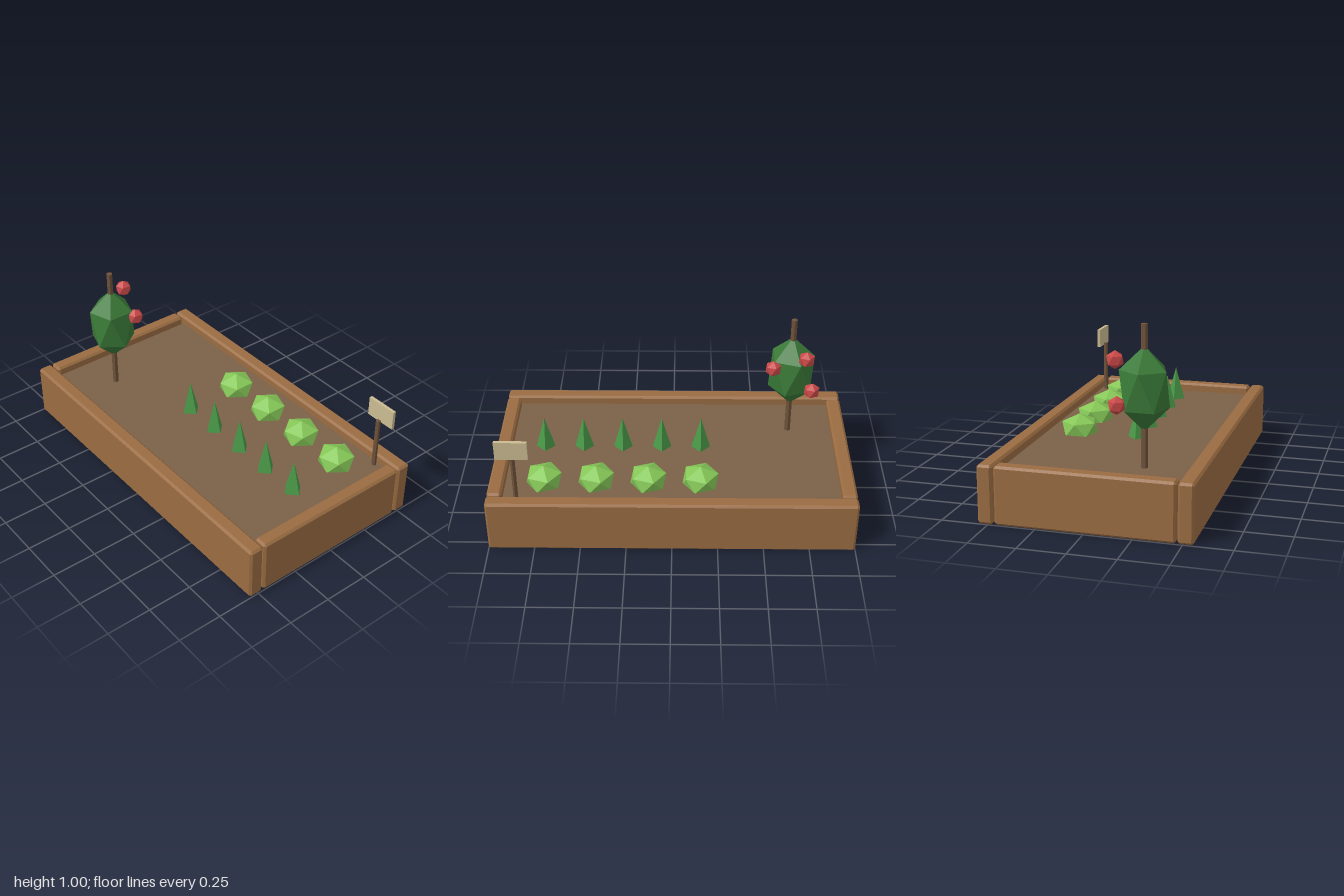
import * as THREE from 'three';
import { ConvexGeometry } from 'three/addons/geometries/ConvexGeometry.js';

const material = (name, color) => {
  const m = new THREE.MeshStandardMaterial({ color, flatShading: true });
  m.name = name;
  return m;
};

// Box with every edge cut by a small chamfer
function chamferBox(w, h, d, c = 0.012) {
  const points = [];
  for (const x of [-1, 1]) for (const y of [-1, 1]) for (const z of [-1, 1]) {
    for (let axis = 0; axis < 3; axis++) {
      const inset = [0, 1, 2].map(i => (i === axis ? 0 : c));
      points.push(new THREE.Vector3(
        x * (w / 2 - inset[0]), y * (h / 2 - inset[1]), z * (d / 2 - inset[2])));
    }
  }
  return new ConvexGeometry(points);
}

// Icosahedron standing on a vertex: two poles and two staggered rings of five
function icoBall(radius, halfHeight) {
  const points = [new THREE.Vector3(0, halfHeight, 0), new THREE.Vector3(0, -halfHeight, 0)];
  const ring = radius * 0.894, level = halfHeight * 0.447;
  for (let i = 0; i < 5; i++) {
    const a = i * Math.PI * 2 / 5;
    points.push(new THREE.Vector3(-ring * Math.cos(a), level, ring * Math.sin(a)));
    points.push(new THREE.Vector3(ring * Math.cos(a), -level, ring * Math.sin(a)));
  }
  return new ConvexGeometry(points);
}

export function createModel() {
  const model = new THREE.Group();
  model.name = 'raisedGardenBed';

  const wood = material('plank wood', 0x9a6c42);
  const soilBrown = material('soil brown', 0x7a6048);
  const stakeWood = material('stake wood', 0x6e523a);
  const darkLeaf = material('dark leaf green', 0x3a7a38);
  const midLeaf = material('sprout green', 0x4a9a48);
  const lightLeaf = material('lettuce green', 0x86c858);
  const red = material('fruit red', 0xc94848);
  const cream = material('sign cream', 0xcbbb92);

  const add = (name, geometry, mat, x, y, z) => {
    const mesh = new THREE.Mesh(geometry, mat);
    mesh.name = name;
    mesh.position.set(x, y, z);
    model.add(mesh);
    return mesh;
  };

  // Frame of four planks
  const longPlank = chamferBox(2, 0.31, 0.082);
  const endPlank = chamferBox(0.08, 0.31, 0.932);
  add('frontPlank', longPlank, wood, 0, 0.155, 0.514);
  add('backPlank', longPlank, wood, 0, 0.155, -0.514);
  add('leftPlank', endPlank, wood, 0.96, 0.155, 0);
  add('rightPlank', endPlank, wood, -0.96, 0.155, 0);

  // Soil filling
  add('soil', new THREE.BoxGeometry(1.84, 0.235, 0.946), soilBrown, 0, 0.1425, 0);

  // Row of lettuces
  const lettuce = icoBall(0.111, 0.08);
  for (let i = 0; i < 4; i++) add('lettuce', lettuce, lightLeaf, -0.155 + i * 0.287, 0.29, -0.29);

  // Row of four-sided sprouts
  const sprout = new THREE.ConeGeometry(0.055, 0.2, 4);
  for (let i = 0; i < 5; i++) add('sprout', sprout, midLeaf, -0.16 + i * 0.2225, 0.355, 0.045);

  // Staked fruit bush
  add('bushStake', new THREE.CylinderGeometry(0.018, 0.018, 0.76, 6), stakeWood, -0.67, 0.62, 0.222);
  add('bushLeaves', icoBall(0.143, 0.22), darkLeaf, -0.67, 0.67, 0.222);
  const fruit = icoBall(0.048, 0.048);
  const fruitSpots = [[-0.737, 0.825, 0.09], [-0.56, 0.737, 0.134], [-0.78, 0.605, 0.11]];
  for (const [x, y, z] of fruitSpots) add('fruit', fruit, red, x, y, z);

  // Blank sign on a post
  add('signPost', new THREE.CylinderGeometry(0.0135, 0.0135, 0.32, 6), stakeWood, 0.843, 0.4, -0.445);
  add('signBoard', new THREE.BoxGeometry(0.175, 0.11, 0.018), cream, 0.843, 0.604, -0.465);

  return model;
}
